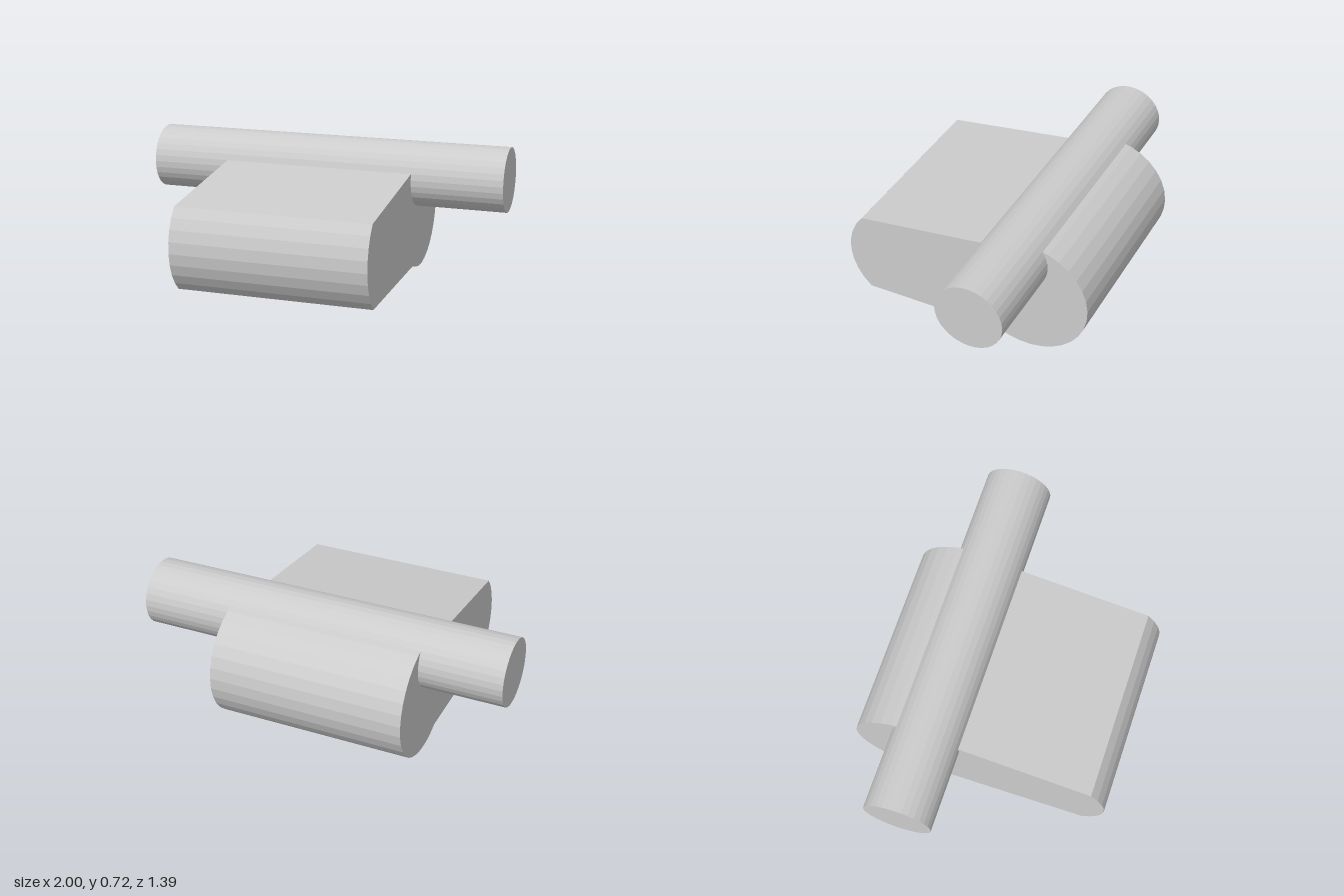
import * as THREE from 'three';

const material = new THREE.MeshStandardMaterial({ color: 0xcccccc, flatShading: true });

// Points on an elliptical arc in the side plane (x = towards the back, y = up)
function arc(cx, cy, rx, ry, from, to, steps) {
  return Array.from({ length: steps + 1 }, (_, i) => {
    const a = from + ((to - from) * i) / steps;
    return new THREE.Vector2(cx + rx * Math.cos(a), cy + ry * Math.sin(a));
  });
}

export function createModel() {
  const model = new THREE.Group();
  model.name = 'hingeBlock';

  // Body: large rounded back and shallow rounded nose joined by straight edges
  const outline = new THREE.Shape([
    ...arc(0.355, 0.325, 0.34, 0.325, -2.06, 1.6, 19),
    new THREE.Vector2(0.28, 0.597),
    ...arc(-0.377, 0.275, 0.32, 0.315, 2.403, 4.008, 8),
  ]);
  const bodyGeometry = new THREE.ExtrudeGeometry(outline, { depth: 1.06, bevelEnabled: false });
  bodyGeometry.rotateY(Math.PI / 2).translate(-0.56, 0, 0);
  const body = new THREE.Mesh(bodyGeometry, material);
  body.name = 'body';

  // Pin: long, slightly oval bar set into the top of the body
  const pinGeometry = new THREE.CylinderGeometry(1, 1, 2, 32);
  pinGeometry.rotateZ(Math.PI / 2).scale(1, 0.177, 0.183);
  const pin = new THREE.Mesh(pinGeometry, material);
  pin.name = 'pin';
  pin.position.set(0, 0.541, -0.288);

  model.add(body, pin);
  return model;
}
